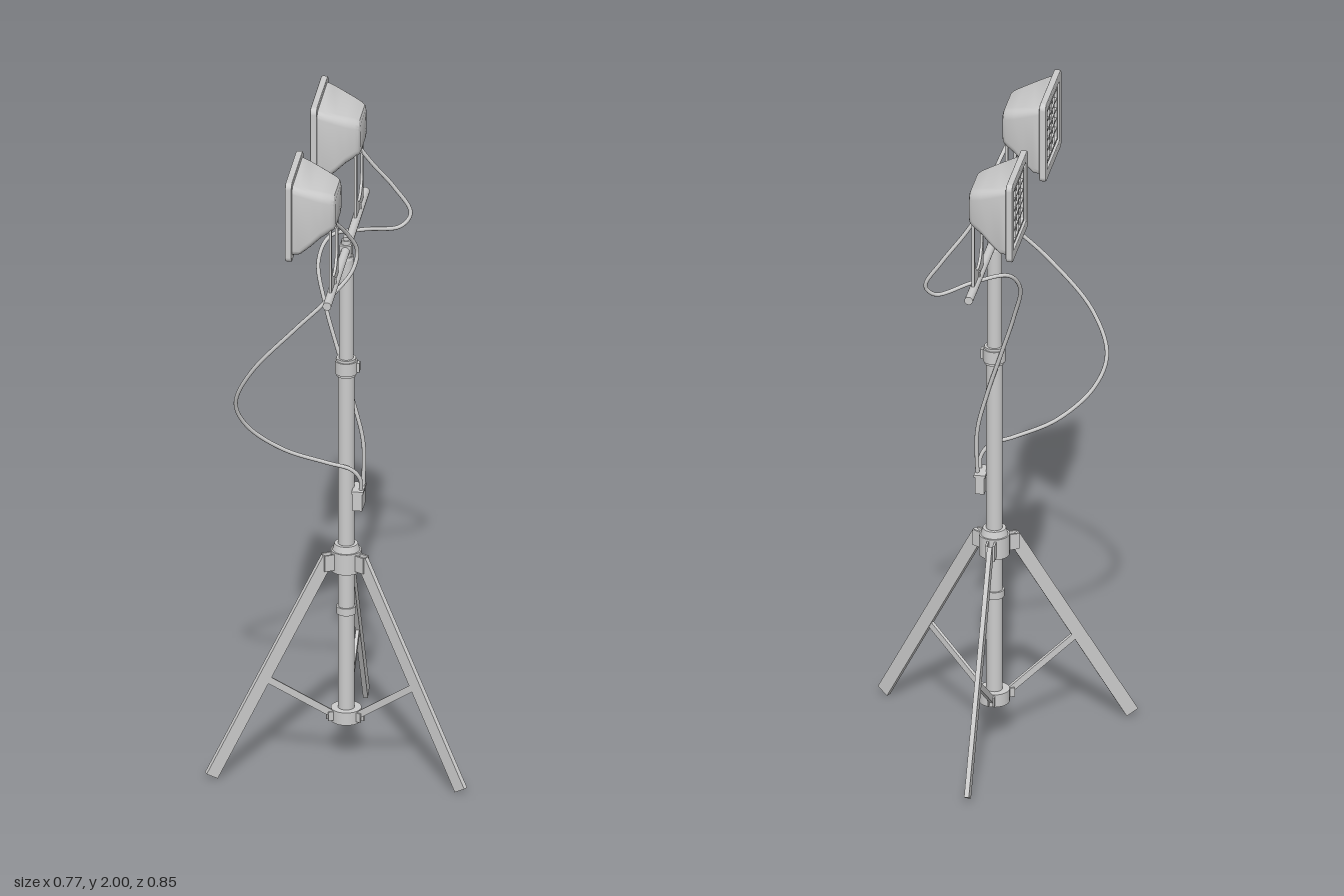
import * as THREE from 'three';
import { toCreasedNormals } from 'three/addons/utils/BufferGeometryUtils.js';

const mat = new THREE.MeshStandardMaterial({ color: 0xcccccc });
const matDouble = new THREE.MeshStandardMaterial({ color: 0xcccccc, side: THREE.DoubleSide });

function add(parent, name, geo, x = 0, y = 0, z = 0, material = mat) {
  const m = new THREE.Mesh(geo, material);
  m.name = name;
  m.position.set(x, y, z);
  parent.add(m);
  return m;
}
const box = (w, h, d) => new THREE.BoxGeometry(w, h, d);

// Vertical cylinder between two heights
function post(parent, name, r, y0, y1, r2 = r) {
  return add(parent, name, new THREE.CylinderGeometry(r2, r, y1 - y0, 28), 0, (y0 + y1) / 2, 0);
}

// Flat bar in the local radial plane
function strut(parent, name, r0, y0, r1, y1, width, thick) {
  const m = add(parent, name, box(Math.hypot(r1 - r0, y1 - y0), width, thick), (r0 + r1) / 2, (y0 + y1) / 2, 0);
  m.rotation.z = Math.atan2(y1 - y0, r1 - r0);
  return m;
}

// Rounded rectangle outline
function roundRect(shape, h, r) {
  shape.moveTo(-h + r, -h);
  shape.lineTo(h - r, -h).absarc(h - r, -h + r, r, -Math.PI / 2, 0);
  shape.lineTo(h, h - r).absarc(h - r, h - r, r, 0, Math.PI / 2);
  shape.lineTo(-h + r, h).absarc(-h + r, h - r, r, Math.PI / 2, Math.PI);
  shape.lineTo(-h, -h + r).absarc(-h + r, -h + r, r, Math.PI, Math.PI * 1.5);
  return shape;
}

// Extrude a (z, y) outline along +x
function extrudeX(shape, depth, bevel = 0) {
  const g = new THREE.ExtrudeGeometry(shape, {
    depth: depth - 2 * bevel, curveSegments: 10, bevelEnabled: bevel > 0,
    bevelSize: bevel, bevelThickness: bevel, bevelOffset: -bevel, bevelSegments: 2,
  });
  g.translate(0, 0, bevel);
  return g.rotateY(Math.PI / 2);
}

// Tapered housing with a notch cut up into its underside
function housingGeometry() {
  // x, bottom, top, half width, corner radius
  const sections = [
    [-0.11, 1.765, 1.987, 0.118, 0.02], [-0.085, 1.766, 1.979, 0.113, 0.022],
    [-0.055, 1.788, 1.968, 0.104, 0.024], [-0.027, 1.812, 1.958, 0.094, 0.026],
    [0, 1.827, 1.948, 0.082, 0.026], [0.01, 1.834, 1.941, 0.074, 0.024],
    [0.014, 1.842, 1.93, 0.064, 0.02],
  ];
  const rings = sections.map(([x, b, t, h, r]) => {
    const n = Math.min(0.082, h - r), up = Math.max(b, 1.832);
    const pts = [[-n, b], [-n + 0.004, up], [n - 0.004, up], [n, b]];
    [[1, b + r, -90], [1, t - r, 0], [-1, t - r, 90], [-1, b + r, 180]].forEach(([s, cy, a0]) => {
      for (let k = 0; k <= 5; k++) {
        const a = THREE.MathUtils.degToRad(a0 + k * 18);
        pts.push([s * (h - r) + r * Math.cos(a), cy + r * Math.sin(a)]);
      }
    });
    return pts.map(([z, y]) => [x, y, z]);
  });
  const pos = [], n = rings[0].length;
  for (let i = 0; i + 1 < rings.length; i++) {
    for (let j = 0; j < n; j++) {
      const k = (j + 1) % n, [p, q] = [rings[i], rings[i + 1]];
      pos.push(...p[j], ...q[j], ...p[k], ...p[k], ...q[j], ...q[k]);
    }
  }
  const last = rings[rings.length - 1];
  for (let j = 0; j < n; j++) pos.push(0.014, 1.886, 0, ...last[(j + 1) % n], ...last[j]);
  const g = new THREE.BufferGeometry();
  g.setAttribute('position', new THREE.Float32BufferAttribute(pos, 3));
  return toCreasedNormals(g, 0.5);
}

function floodlight(name, z) {
  const lamp = new THREE.Group();
  lamp.name = name;
  lamp.position.z = z;
  add(lamp, 'housing', housingGeometry(), 0, 0, 0, matDouble);

  // Front frame, glass and guard grid
  const frame = roundRect(new THREE.Shape(), 0.126, 0.018);
  frame.holes.push(roundRect(new THREE.Path(), 0.096, 0.008));
  add(lamp, 'frontFrame', extrudeX(frame, 0.02, 0.004), -0.126, 1.874, 0);
  add(lamp, 'glass', box(0.006, 0.22, 0.22), -0.11, 1.874, 0);
  const rim = roundRect(new THREE.Shape(), 0.088, 0.006);
  rim.holes.push(roundRect(new THREE.Path(), 0.08, 0.004));
  add(lamp, 'guardRim', extrudeX(rim, 0.009), -0.121, 1.874, 0);
  for (const t of [-0.04, 0, 0.04]) {
    add(lamp, 'guardUpright', box(0.006, 0.164, 0.005), -0.118, 1.874, t);
  }
  for (const t of [-0.048, -0.016, 0.016, 0.048]) {
    add(lamp, 'guardRail', box(0.006, 0.005, 0.164), -0.117, 1.874 + t, 0);
  }

  // Cable gland and terminal box under the housing
  add(lamp, 'terminalBox', box(0.05, 0.02, 0.12), -0.045, 1.824, 0);
  add(lamp, 'cableGland', new THREE.CylinderGeometry(0.01, 0.01, 0.025, 16), 0, 1.826, 0);

  // Yoke plate with a round-bottomed opening
  const yoke = new THREE.Shape();
  yoke.moveTo(-0.074, 1.637).lineTo(0.074, 1.637).lineTo(0.074, 1.84).lineTo(0.06, 1.84).lineTo(0.06, 1.722);
  yoke.absarc(0, 1.722, 0.06, 0, -Math.PI, true);
  yoke.lineTo(-0.06, 1.84).lineTo(-0.074, 1.84);
  add(lamp, 'yoke', extrudeX(yoke, 0.008), -0.004, 0, 0);
  add(lamp, 'yokeBolt', new THREE.CylinderGeometry(0.009, 0.009, 0.02, 6), 0, 1.641, 0);
  return lamp;
}

function cable(parent, name, pts) {
  const curve = new THREE.CatmullRomCurve3(pts.map((p) => new THREE.Vector3(...p)));
  add(parent, name, new THREE.TubeGeometry(curve, 120, 0.006, 10));
}

export function createModel() {
  const model = new THREE.Group();
  model.name = 'tripodWorkLight';

  const stand = new THREE.Group();
  stand.name = 'stand';
  stand.position.z = 0.016;
  model.add(stand);

  // Telescopic mast with collars
  post(stand, 'lowerMast', 0.024, 0.125, 1.25);
  post(stand, 'upperMast', 0.0215, 1.25, 1.605);
  post(stand, 'mastCap', 0.023, 1.595, 1.61, 0.018);
  post(stand, 'footCollar', 0.045, 0.12, 0.16);
  post(stand, 'lowerRing', 0.029, 0.462, 0.485);
  post(stand, 'hub', 0.045, 0.6, 0.665);
  post(stand, 'hubFlange', 0.04, 0.665, 0.685, 0.034);
  post(stand, 'clampRing', 0.033, 1.23, 1.27);
  post(stand, 'clampLip', 0.029, 1.222, 1.278);
  add(stand, 'clampScrew', box(0.02, 0.03, 0.018), 0.03, 1.25, 0);

  // Three legs with braces
  for (let k = 0; k < 3; k++) {
    const leg = new THREE.Group();
    leg.name = 'leg';
    leg.rotation.y = Math.PI / 2 + (k * 2 * Math.PI) / 3;
    strut(leg, 'legBar', 0.058, 0.648, 0.423, 0.013, 0.04, 0.014);
    strut(leg, 'brace', 0.04, 0.143, 0.245, 0.29, 0.02, 0.01);
    for (const s of [-1, 1]) {
      add(leg, 'hubLug', box(0.045, 0.05, 0.006), 0.05, 0.634, s * 0.011);
      add(leg, 'collarLug', box(0.025, 0.028, 0.005), 0.047, 0.142, s * 0.008);
    }
    stand.add(leg);
  }

  // Crossbar and its head fitting
  post(stand, 'headPin', 0.014, 1.605, 1.655);
  post(stand, 'headKnob', 0.01, 1.655, 1.666);
  add(stand, 'headBlock', box(0.034, 0.034, 0.036), 0, 1.625, 0);
  const bar = add(stand, 'crossbar', new THREE.CylinderGeometry(0.0125, 0.0125, 0.812, 20), 0, 1.625, 0);
  bar.rotation.x = Math.PI / 2;

  // Floodlights
  model.add(floodlight('frontFloodlight', 0.279), floodlight('rearFloodlight', -0.248));

  // Cables and the junction box on the mast
  cable(model, 'frontCable', [
    [0, 1.83, 0.275], [0.03, 1.76, 0.205], [0.053, 1.69, 0.165], [0.04, 1.63, 0.18], [-0.03, 1.55, 0.222],
    [-0.12, 1.46, 0.238], [-0.25, 1.31, 0.228], [-0.3, 1.19, 0.19], [-0.27, 1.1, 0.15], [-0.17, 1.01, 0.1],
    [-0.05, 0.96, 0.065], [0.02, 0.935, 0.05], [0.045, 0.9, 0.04], [0.045, 0.85, 0.033],
  ]);
  cable(model, 'rearCable', [
    [0, 1.83, -0.25], [0.04, 1.77, -0.265], [0.1, 1.69, -0.285], [0.147, 1.61, -0.288], [0.12, 1.575, -0.27],
    [0.02, 1.59, -0.2], [-0.07, 1.59, -0.14], [-0.097, 1.53, -0.095], [-0.07, 1.41, -0.05],
    [-0.03, 1.28, -0.025], [0.02, 1.12, -0.005], [0.048, 1, 0], [0.048, 0.85, 0.005],
  ]);
  add(model, 'junctionBox', box(0.028, 0.055, 0.068), 0.038, 0.832, 0.018);
  add(model, 'junctionLid', box(0.034, 0.008, 0.072), 0.038, 0.862, 0.018);
  return model;
}
